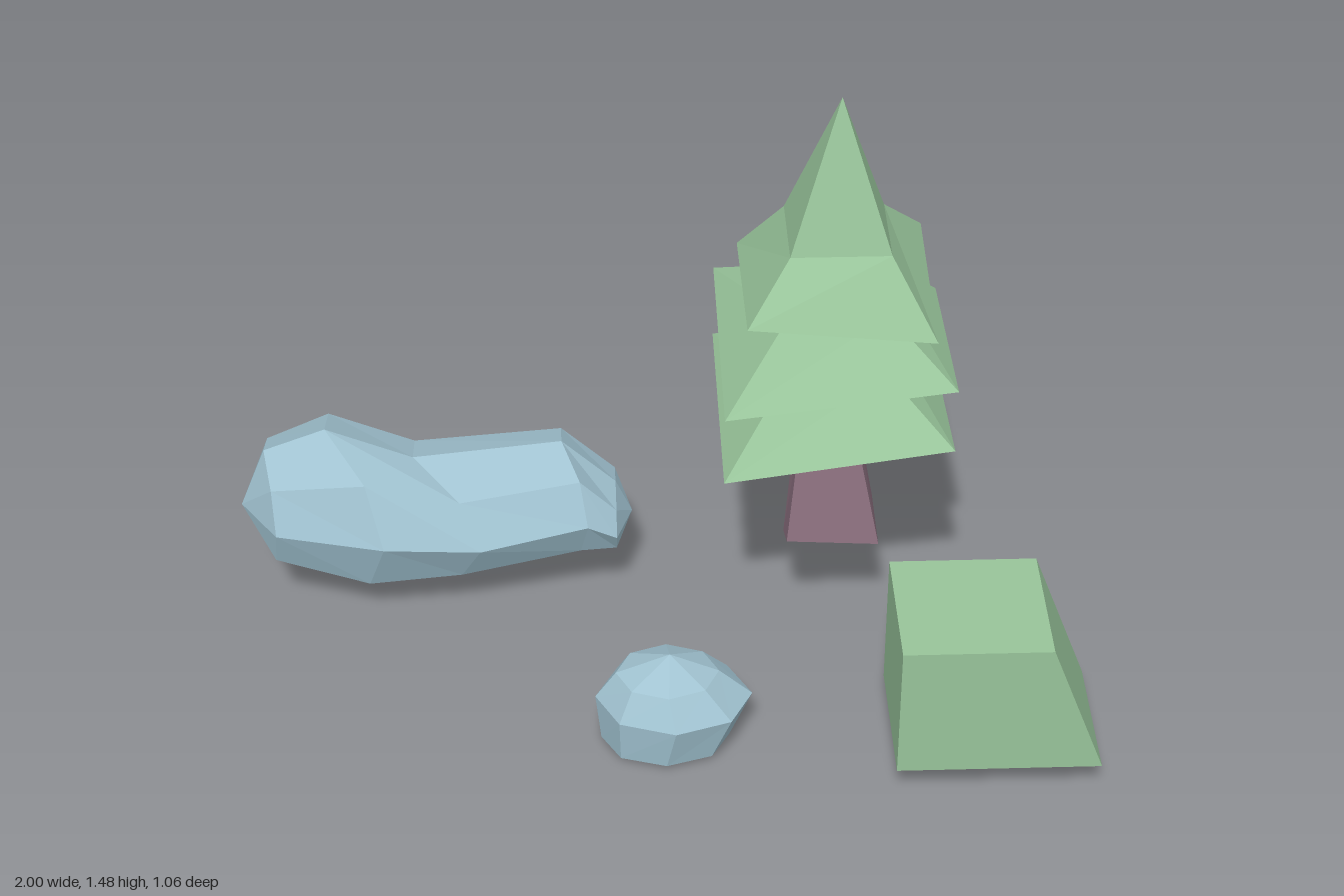
import * as THREE from 'three';

const green = new THREE.MeshStandardMaterial({ color: 0x98c49a });
green.name = 'leaf green';
const blue = new THREE.MeshStandardMaterial({ color: 0xa1c3d1 });
blue.name = 'stone blue';
const brown = new THREE.MeshStandardMaterial({ color: 0x8c707f });
brown.name = 'bark mauve';

// Faceted skin over rings of points; a ring with one point is a pole.
function loft(name, material, rings) {
  const n = Math.max(...rings.map((r) => r.length));
  const at = (r, j) => r[r.length === 1 ? 0 : j % n];
  const pos = [];
  for (let i = 0; i < rings.length - 1; i++) {
    const lo = rings[i], hi = rings[i + 1];
    for (let j = 0; j < n; j++) {
      const a = at(lo, j), b = at(lo, j + 1), c = at(hi, j + 1), d = at(hi, j);
      if (lo.length > 1) pos.push(...a, ...b, ...c);
      if (hi.length > 1) pos.push(...a, ...c, ...d);
    }
  }
  const geo = new THREE.BufferGeometry();
  geo.setAttribute('position', new THREE.Float32BufferAttribute(pos, 3));
  geo.computeVertexNormals();
  const mesh = new THREE.Mesh(geo, material);
  mesh.name = name;
  return mesh;
}

// Eight-sided ring about the x axis; bulge pushes the front side along x
function ringX(x, cy, cz, ry, rz, bulge = 0) {
  return Array.from({ length: 8 }, (_, i) => {
    const a = (i * Math.PI) / 4;
    return [x + bulge * Math.max(0, Math.sin(a)), cy + ry * Math.cos(a), cz + rz * Math.sin(a)];
  });
}

// Eight-sided ring about the y axis
function ringY(y, cx, cz, rx, rz) {
  return Array.from({ length: 8 }, (_, i) => {
    const a = (i * Math.PI) / 4;
    return [cx + rx * Math.cos(a), y, cz - rz * Math.sin(a)];
  });
}

// Square ring: front right, back right, back left, front left
const square = (x0, x1, z0, z1, y) => [[x1, y, z1], [x1, y, z0], [x0, y, z0], [x0, y, z1]];

function createTree() {
  const tree = new THREE.Group();
  tree.name = 'tree';
  const neck = (y) => square(0.3, 0.53, -0.25, -0.03, y);

  // Branch tiers with twisted lower corners
  const wide = (fr, br, bl, fl) =>
    [[0.68, fr, 0.1], [0.68, br, -0.405], [0.15, bl, -0.435], [0.15, fl, 0.125]];
  tree.add(loft('lowerBranches', green,
    [[[0.415, 0.65, -0.14]], wide(0.68, 0.62, 0.655, 0.62), neck(0.81), [[0.415, 0.9, -0.14]]]));
  tree.add(loft('middleBranches', green,
    [[[0.415, 0.825, -0.14]], wide(0.845, 0.795, 0.845, 0.795), neck(0.97), [[0.415, 1.06, -0.14]]]));
  const topRim = square(0.2, 0.63, -0.355, 0.08, 0.965);
  topRim[1][1] = topRim[3][1] = 1.01;
  tree.add(loft('treeTop', green,
    [[[0.415, 0.985, -0.14]], topRim, neck(1.13), [[0.415, 1.48, -0.137]]]));

  // Five-sided trunk, tapering then flaring under the branches
  const foot = [[0.53, 0.305, -0.045], [0.53, 0.315, -0.23], [0.42, 0.325, -0.25],
    [0.31, 0.28, -0.14], [0.31, 0.33, -0.03]];
  const waist = [[0.465, 0.625, -0.09], [0.48, 0.585, -0.225], [0.41, 0.59, -0.235],
    [0.335, 0.6, -0.15], [0.34, 0.62, -0.08]];
  const flare = [[0.525, 0.67, -0.045], [0.53, 0.66, -0.24], [0.41, 0.66, -0.25],
    [0.3, 0.66, -0.15], [0.31, 0.67, -0.04]];
  tree.add(loft('trunk', brown, [foot, waist, flare]));
  const base = [0.415, 0.31, -0.14];
  tree.add(loft('trunkUnderside', green, [[base], foot]));

  // Small bark patch under the trunk
  const patch = foot.map((p) => p.map((v, k) => base[k] + (v - base[k]) * 0.25 - (k === 1 ? 0.004 : 0)));
  tree.add(loft('barkPatch', brown, [[[base[0], base[1] - 0.004, base[2]]], patch]));
  return tree;
}

export function createModel() {
  const model = new THREE.Group();
  model.name = 'forestScene';
  model.add(createTree());

  // Long boulder
  model.add(loft('longRock', blue, [
    [[-1, 0.28, -0.29]],
    ringX(-0.94, 0.275, -0.315, 0.147, 0.155, 0.03),
    ringX(-0.79, 0.272, -0.315, 0.208, 0.215, 0.14),
    ringX(-0.58, 0.25, -0.3, 0.153, 0.185, 0.16),
    ringX(-0.22, 0.29, -0.31, 0.145, 0.16, 0.06),
    ringX(-0.09, 0.243, -0.295, 0.08, 0.125),
    [[-0.05, 0.23, -0.3]],
  ]));

  // Small boulder
  model.add(loft('smallRock', blue, [
    [[0.01, 0, 0.29]],
    ringY(0.015, 0.01, 0.295, 0.15, 0.11),
    ringY(0.13, 0.03, 0.285, 0.183, 0.145),
    ringY(0.2, 0.015, 0.285, 0.12, 0.1),
    [[0.02, 0.255, 0.29]],
  ]));

  // Block with one sloping side
  const side = new THREE.Shape([[0.53, 0.095], [1, 0.095], [0.87, 0.435], [0.53, 0.435]]
    .map(([x, y]) => new THREE.Vector2(x, y)));
  const geo = new THREE.ExtrudeGeometry(side, { depth: 0.34, bevelEnabled: false });
  geo.translate(0, 0, 0.19);
  const block = new THREE.Mesh(geo, green);
  block.name = 'slopedBlock';
  model.add(block);
  return model;
}
